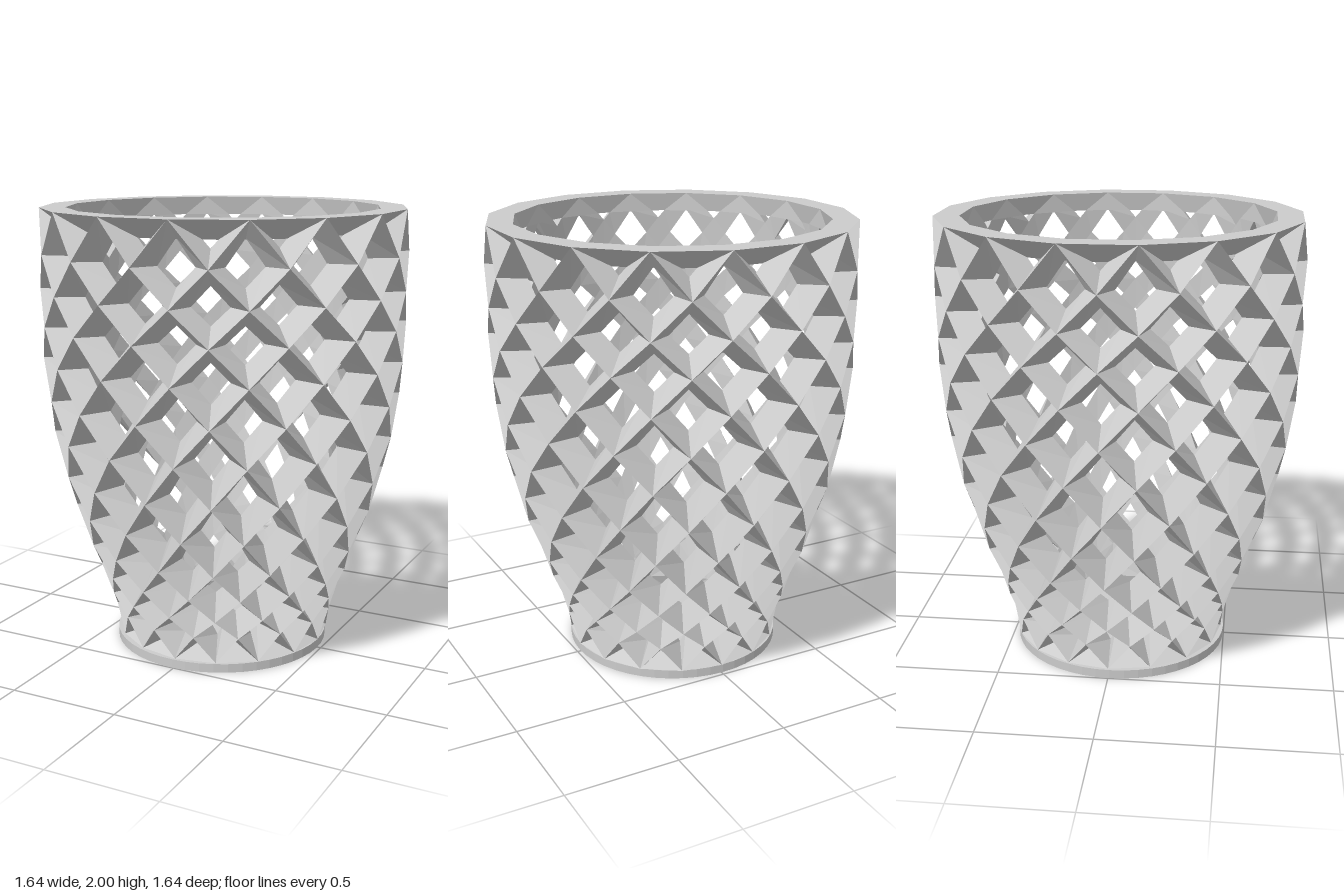
import * as THREE from 'three';

// Lattice rows from the foot to the rim: heights and outer radii
const Y = [0.04, 0.16, 0.25, 0.36, 0.49, 0.65, 0.82, 1.0, 1.17, 1.34, 1.5, 1.65, 1.81, 2.0];
const R = [0.485, 0.505, 0.535, 0.575, 0.625, 0.68, 0.73, 0.77, 0.795, 0.81, 0.815, 0.815, 0.818, 0.81];
const TOP = Y.length - 1;
const STEPS = 32;               // half steps round; nodes sit where row + step is even
const UNIT = (Math.PI * 2) / STEPS;
const DEPTH = 0.115;            // wall thickness
const BAR_X = 0.068, BAR_Y = 0.075; // bar half widths at the inner wall
const STEP = [[0, 1], [1, 0], [0, -1], [-1, 0]]; // right, up, left, down

const polar = (r, y, a) => new THREE.Vector3(r * Math.sin(a * UNIT), y, r * Math.cos(a * UNIT));

function radiusAt(y) {
  if (y <= Y[0]) return R[0];
  for (let i = 1; i <= TOP; i++) {
    if (y <= Y[i]) return THREE.MathUtils.lerp(R[i - 1], R[i], (y - Y[i - 1]) / (Y[i] - Y[i - 1]));
  }
  return R[TOP];
}

// Point on the inner wall, offset along the profile's normal
function inner(y, a) {
  const slope = (radiusAt(y + 0.1) - radiusAt(y - 0.1)) / 0.2;
  const k = DEPTH / Math.hypot(1, slope);
  return polar(radiusAt(y) - k, y + k * slope, a);
}

const node = (r, a) => polar(R[r], Y[r], a);

// Corner of the opening in cell (r, a), towards direction d
function hole(r, a, d) {
  const [dr, da] = STEP[d];
  if (dr) {
    const gap = Math.abs(Y[r + dr] - Y[r]);
    return inner(Y[r + dr] - dr * Math.min(BAR_Y, gap * 0.75), a);
  }
  if (r === 0) return inner(Y[1] - BAR_Y, a);          // foot cells close to a point
  if (r === TOP) return inner(Y[TOP] - 0.08, a + da * 0.22);
  return inner(Y[r], a + da * (1 - BAR_X / (R[r] * UNIT)));
}

function facetMesh(name, polygons, material) {
  const data = [];
  for (const p of polygons) {
    for (let i = 1; i < p.length - 1; i++) {
      for (const v of [p[0], p[i], p[i + 1]]) data.push(v.x, v.y, v.z);
    }
  }
  const geometry = new THREE.BufferGeometry();
  geometry.setAttribute('position', new THREE.Float32BufferAttribute(data, 3));
  geometry.computeVertexNormals();
  const mesh = new THREE.Mesh(geometry, material);
  mesh.name = name;
  return mesh;
}

export function createModel() {
  const group = new THREE.Group();
  group.name = 'latticeVase';
  const material = new THREE.MeshStandardMaterial({ color: 0xcccccc, flatShading: true });
  const outside = [], inside = [], rim = [], footRing = [];
  const allowed = (r) => [0, 1, 2, 3].filter((d) => r + STEP[d][0] >= 0 && r + STEP[d][0] <= TOP);

  for (let r = 0; r <= TOP; r++) {
    for (let a = 0; a < STEPS; a++) {
      const dirs = allowed(r);
      if ((r + a) % 2) {
        // Cell: bevelled faces from the outer ridges to the opening
        dirs.forEach((d, i) => {
          const e = dirs[(i + 1) % dirs.length];
          outside.push([
            node(r + STEP[d][0], a + STEP[d][1]), node(r + STEP[e][0], a + STEP[e][1]),
            hole(r, a, e), hole(r, a, d),
          ]);
        });
        continue;
      }
      // Node: inner face where the bars cross
      inside.push(dirs.map((d) => hole(r + STEP[d][0], a + STEP[d][1], (d + 2) % 4)).reverse());
      // Inner faces of the two bars rising from this node
      if (r < TOP) {
        inside.push([hole(r + 1, a, 3), hole(r + 1, a, 0), hole(r, a + 1, 1), hole(r, a + 1, 2)]);
        inside.push([hole(r, a - 1, 0), hole(r, a - 1, 1), hole(r + 1, a, 2), hole(r + 1, a, 3)]);
      }
    }
  }

  // Flat rim with the band inside it
  const lip = (a) => polar(R[TOP] - DEPTH, Y[TOP], a);
  for (let a = 1; a < STEPS; a += 2) {
    rim.push([node(TOP, a), node(TOP, a + 2), lip(a + 2), lip(a)]);
    rim.push([lip(a), lip(a + 2), hole(TOP, a + 1, 0), hole(TOP, a + 1, 2)]);
    rim.push([lip(a), hole(TOP, a + 1, 2), hole(TOP, a - 1, 0)]);
  }

  // Inner wall down to the floor
  const floor = (a) => polar(0.385, Y[0], a);
  for (let a = 0; a < STEPS; a += 2) {
    footRing.push([floor(a), hole(0, a + 1, 2), floor(a + 2)]);
    footRing.push([floor(a), hole(0, a - 1, 0), hole(0, a + 1, 2)]);
  }

  group.add(
    facetMesh('outerLattice', outside, material),
    facetMesh('innerLattice', inside, material),
    facetMesh('rim', rim, material),
    facetMesh('innerFoot', footRing, material),
  );

  // Solid base disc
  const base = new THREE.Mesh(new THREE.CylinderGeometry(0.49, 0.49, 0.04, 48), material);
  base.name = 'base';
  base.position.set(-0.007, 0.02, 0.008);
  group.add(base);
  return group;
}
